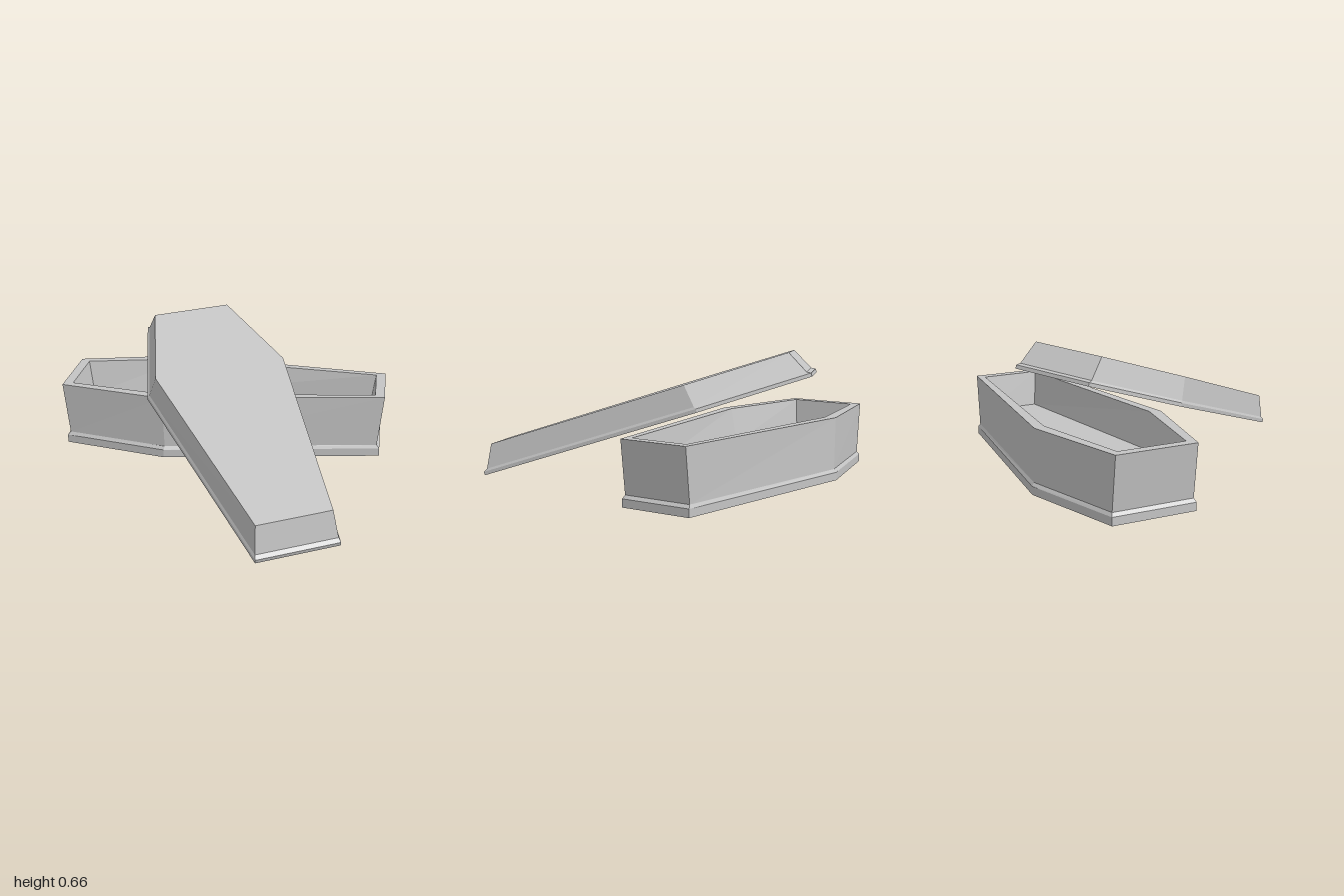
import * as THREE from 'three';

const gray = new THREE.MeshStandardMaterial({ color: 0xc4c4c4, side: THREE.DoubleSide, flatShading: true });
gray.name = 'plain gray';

// Six-sided casket outline in the xz plane, centred on its length, head at -x,
// scaled along its length (sx) and across its width (sz)
function ring(dim, y, sx = 1, sz = sx) {
  const { length, shoulderAt, head, shoulder, foot } = dim;
  const half = [[-length / 2, head], [shoulderAt - length / 2, shoulder], [length / 2, foot]];
  const left = half.map(([x, z]) => new THREE.Vector3(x * sx, y, z * sz));
  const right = half.map(([x, z]) => new THREE.Vector3(x * sx, y, -z * sz)).reverse();
  return [...left, ...right];
}

// Flat-sided skin through successive rings, closed by a cap on the last one if asked
function skin(name, rings, cap = false) {
  const pts = [];
  for (let k = 0; k + 1 < rings.length; k++) {
    const a = rings[k], b = rings[k + 1];
    for (let i = 0; i < a.length; i++) {
      const j = (i + 1) % a.length;
      pts.push(a[i], a[j], b[j], a[i], b[j], b[i]);
    }
  }
  if (cap) {
    const top = rings[rings.length - 1];
    for (let i = 1; i + 1 < top.length; i++) pts.push(top[0], top[i], top[i + 1]);
  }
  const geometry = new THREE.BufferGeometry().setFromPoints(pts);
  geometry.computeVertexNormals();
  const mesh = new THREE.Mesh(geometry, gray);
  mesh.name = name;
  return mesh;
}

// Turn a part so its length follows `along` and its top faces `up`
function place(group, along, up, position) {
  const x = along.clone().normalize();
  const z = new THREE.Vector3().crossVectors(x, up).normalize();
  const y = new THREE.Vector3().crossVectors(z, x);
  group.quaternion.setFromRotationMatrix(new THREE.Matrix4().makeBasis(x, y, z));
  group.position.copy(position);
}

export function createModel() {
  const model = new THREE.Group();
  model.name = 'openCasket';

  // Open box with a plinth, flared walls and a raised floor
  const boxDim = { length: 1.64, shoulderAt: 0.54, head: 0.201, shoulder: 0.328, foot: 0.175 };
  const box = new THREE.Group();
  box.name = 'box';
  const wallFoot = ring(boxDim, 0.066, 0.963, 1.0);
  const rimOuter = ring(boxDim, 0.325);
  const rimInner = ring(boxDim, 0.325, 0.942, 0.835);
  const floor = ring(boxDim, 0.15, 0.907, 0.72);
  box.add(
    skin('plinth', [ring(boxDim, 0.01, 0.98, 1.035), ring(boxDim, 0.05, 0.98, 1.035), wallFoot]),
    skin('outerWalls', [wallFoot, rimOuter]),
    skin('rim', [rimOuter, rimInner]),
    skin('innerWalls', [rimInner, floor]),
    skin('floor', [floor], true),
  );
  place(box, new THREE.Vector3(0.815, 0, -0.579), new THREE.Vector3(0, 1, 0),
    new THREE.Vector3(-0.216, 0, -0.15));

  // Hollow lid with a lip, leaning across the box with its foot on the ground
  const lidDim = { length: 1.728, shoulderAt: 0.563, head: 0.215, shoulder: 0.36, foot: 0.193 };
  const lid = new THREE.Group();
  lid.name = 'lid';
  const lidWallFoot = ring(lidDim, 0.029, 0.977);
  const lidTop = ring(lidDim, 0.143, 0.912, 0.905);
  lid.add(
    skin('lidLip', [ring(lidDim, 0), ring(lidDim, 0.018), lidWallFoot]),
    skin('lidWalls', [lidWallFoot, lidTop]),
    skin('lidPanel', [lidTop], true),
  );
  place(lid, new THREE.Vector3(0.836, -0.306, 0.455), new THREE.Vector3(0.241, 0.95, 0.197),
    new THREE.Vector3(0.178, 0.275, 0.201));

  model.add(box, lid);
  return model;
}
